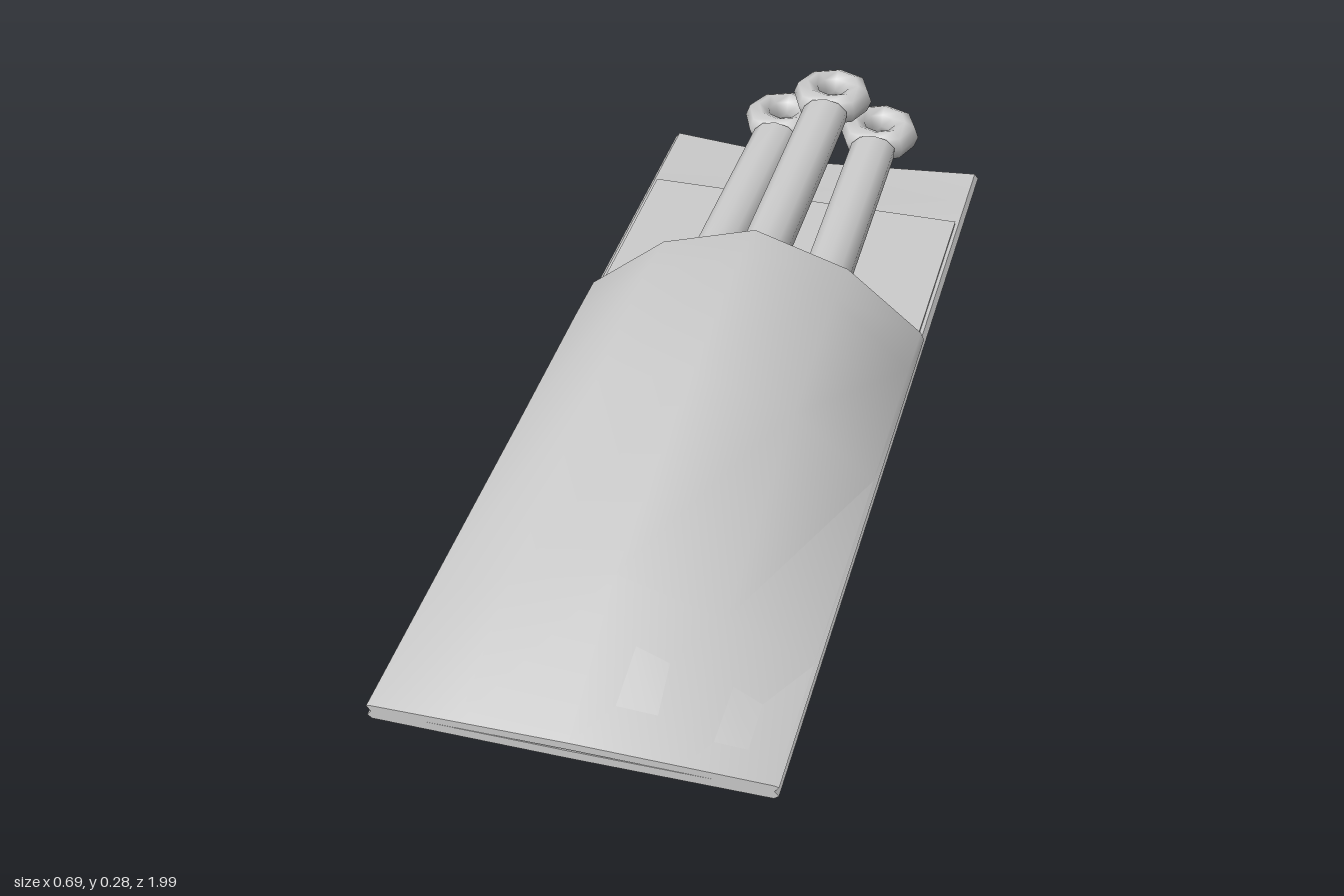
import * as THREE from 'three';
import { toCreasedNormals } from 'three/addons/utils/BufferGeometryUtils.js';

const grey = new THREE.MeshStandardMaterial({ color: 0xcccccc, side: THREE.DoubleSide });

function part(name, geometry, crease = 0.6) {
  const mesh = new THREE.Mesh(toCreasedNormals(geometry, crease), grey);
  mesh.name = name;
  return mesh;
}

// Skins counter-clockwise xy rings, ordered front to back, and caps both ends
function loft(sections) {
  const n = sections[0].ring.length;
  const pos = [], idx = [];
  for (const { z, ring } of sections) for (const [x, y] of ring) pos.push(x, y, z);
  for (let i = 0; i < sections.length - 1; i++) {
    for (let j = 0; j < n; j++) {
      const a = i * n + j, b = i * n + (j + 1) % n;
      idx.push(a, a + n, b, b, a + n, b + n);
    }
  }
  const cap = (s) => THREE.ShapeUtils.triangulateShape(s.ring.map(([x, y]) => new THREE.Vector2(x, y)), []);
  const last = (sections.length - 1) * n;
  for (const [a, b, c] of cap(sections[0])) idx.push(a, b, c);
  for (const [a, b, c] of cap(sections[sections.length - 1])) idx.push(last + a, last + c, last + b);
  const g = new THREE.BufferGeometry();
  g.setAttribute('position', new THREE.Float32BufferAttribute(pos, 3));
  g.setIndex(idx);
  return g;
}

// Right half followed by its mirror image
const mirror = (half) => [...half, ...half.slice().reverse().filter(([x]) => x > 0).map(([x, y]) => [-x, y])];

// Shallow V-bottomed backing: z, keel height, lower edge height, top centre height
function backing() {
  return loft([
    [1, 0.033, 0.035, 0.05], [0.6, 0.016, 0.031, 0.05], [0.2, 0.003, 0.027, 0.05],
    [-0.64, 0.003, 0.027, 0.048], [-0.73, 0.005, 0.027, 0.032], [-0.845, 0.008, 0.027, 0.026],
  ].map(([z, keel, edge, top]) => ({
    z, ring: mirror([[0, keel], [0.337, edge], [0.345, 0.042], [0.337, 0.052], [0, top]]),
  })));
}

// Domed hollow cover: z, side height, shoulder height, ridge height
function cover() {
  const wall = 0.02;
  return loft([
    [1, 0.064, 0.066, 0.068], [0.73, 0.066, 0.133, 0.19], [0.25, 0.07, 0.195, 0.257],
    [-0.08, 0.08, 0.22, 0.281], [-0.205, 0.078, 0.204, 0.264],
  ].map(([z, side, shoulder, ridge]) => {
    const outer = [[0.337, 0.05], [0.345, 0.062], [0.338, side], [0.187, shoulder], [0, ridge]];
    const inner = [[0.187 - wall / 2, Math.max(0.052, shoulder - wall)], [0.31, 0.051]];
    const flip = (pts) => pts.slice().reverse().map(([x, y]) => [-x, y]);
    const top = [0, Math.max(0.053, ridge - wall)];
    return { z, ring: [...outer, ...flip(outer.slice(0, 4)), ...flip(inner), top, ...inner] };
  }));
}

// Ring-handled knife lying along z, its blade inside the cover
function knife() {
  const g = new THREE.Group();
  g.name = 'knife';
  const handle = new THREE.CylinderGeometry(0.05, 0.05, 0.6, 10);
  handle.rotateX(Math.PI / 2).scale(1, 0.72, 1).translate(0, 0, -0.53);
  g.add(part('handle', handle, 0.9));

  const ring = new THREE.TorusGeometry(0.057, 0.031, 8, 8);
  ring.rotateX(Math.PI / 2).scale(1, 1.12, 1).translate(0, 0, -0.905);
  g.add(part('ring', ring, 1.2));

  const blade = [[0.5, 0.004, 0.003], [-0.16, 0.085, 0.034], [-0.205, 0.075, 0.036], [-0.25, 0.04, 0.03]];
  g.add(part('blade', loft(blade.map(([z, w, h]) => ({ z, ring: [[w, 0], [0, h], [-w, 0], [0, -h]] })))));
  return g;
}

export function createModel() {
  const model = new THREE.Group();
  model.name = 'knifePouch';
  model.add(part('backing', backing(), 0.5));
  model.add(part('cover', cover(), 0.75));

  // Raised lining ending short of the rear lip
  const lining = new THREE.BoxGeometry(0.66, 0.018, 1.44);
  lining.translate(0, 0.049, 0.08);
  model.add(part('lining', lining));

  // One knife above a pair
  for (const [x, y, z] of [[0, 0.163, -0.002], [-0.123, 0.094, 0.01], [0.127, 0.094, 0.01]]) {
    const k = knife();
    k.position.set(x, y, z);
    k.rotation.y = x * 0.14;
    model.add(k);
  }
  return model;
}
